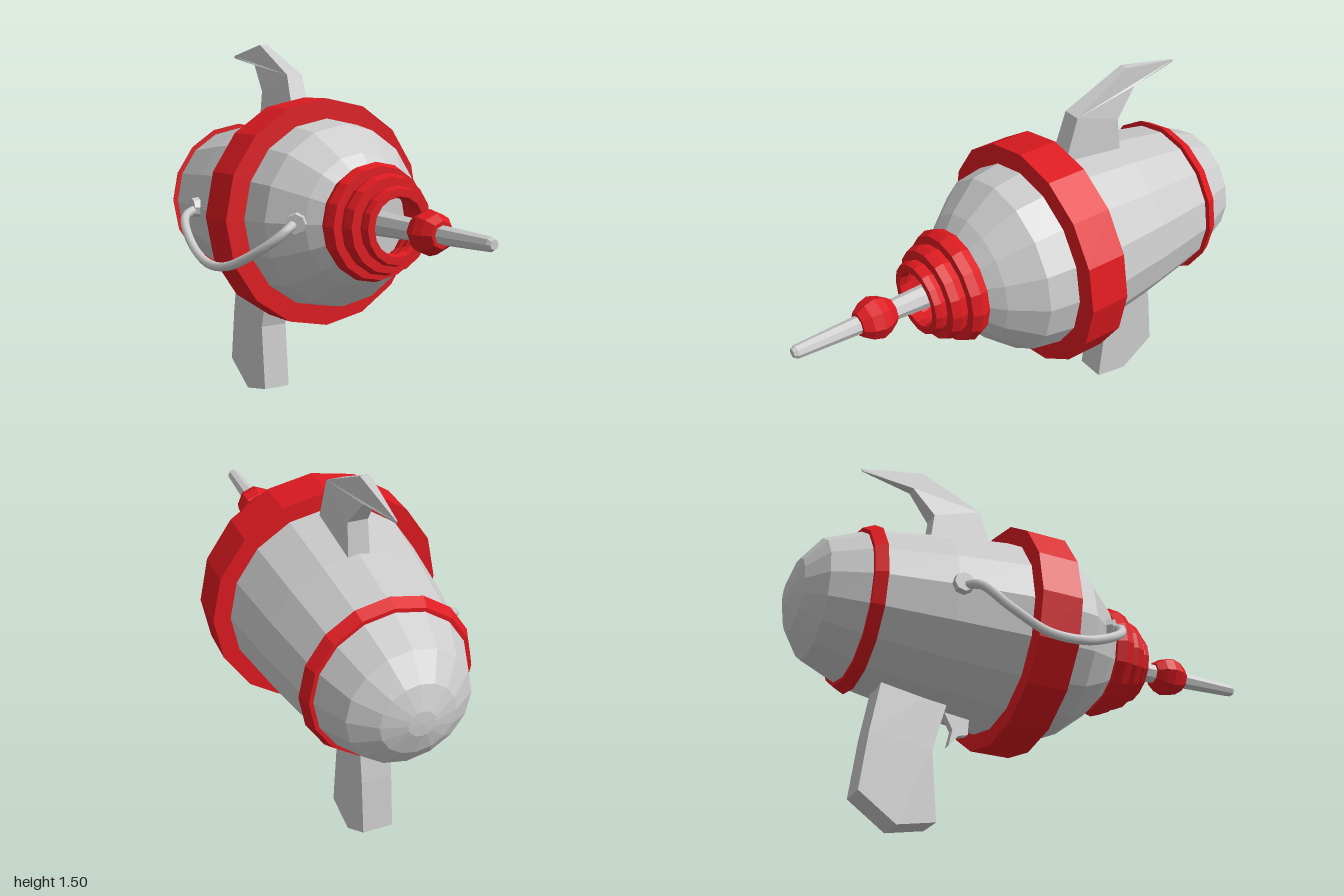
import * as THREE from 'three';

const grey = new THREE.MeshStandardMaterial({ color: 0xcccccc, flatShading: true });
const smoothGrey = new THREE.MeshStandardMaterial({ color: 0xcccccc });
const red = new THREE.MeshStandardMaterial({ color: 0xdd1a20, flatShading: true });

// Turned part along the z axis; profile is [z, radius] with z ascending on the outside
function turned(name, profile, sides, material) {
  const geometry = new THREE.LatheGeometry(profile.map(([z, r]) => new THREE.Vector2(r, z)), sides);
  geometry.rotateX(Math.PI / 2);
  const mesh = new THREE.Mesh(geometry, material);
  mesh.name = name;
  mesh.position.set(0.01, 0.835, 0);
  return mesh;
}

// Side-on slab; each outline point is [z, y, half width]
function slab(name, outline) {
  const shape = new THREE.Shape(outline.map(([z, y]) => new THREE.Vector2(-z, y)));
  const geometry = new THREE.ExtrudeGeometry(shape, { depth: 1, bevelEnabled: false });
  const p = geometry.attributes.position;
  for (let i = 0; i < p.count; i++) {
    const point = outline.find(([z, y]) => Math.hypot(p.getX(i) + z, p.getY(i) - y) < 1e-4);
    p.setZ(i, point[2] * (p.getZ(i) > 0.5 ? 1 : -1));
  }
  geometry.rotateY(Math.PI / 2);
  geometry.computeVertexNormals();
  const mesh = new THREE.Mesh(geometry, grey);
  mesh.name = name;
  mesh.position.x = 0.01;
  return mesh;
}

// Short octagonal socket pointing along a direction
function socket(name, position, direction) {
  const mesh = new THREE.Mesh(new THREE.CylinderGeometry(0.038, 0.045, 0.06, 8), grey);
  mesh.name = name;
  mesh.position.set(...position);
  mesh.quaternion.setFromUnitVectors(new THREE.Vector3(0, 1, 0), new THREE.Vector3(...direction).normalize());
  return mesh;
}

export function createModel() {
  const model = new THREE.Group();
  model.name = 'rayGun';

  // Egg-shaped body
  model.add(turned('body', [
    [-1, 0], [-0.997, 0.05], [-0.968, 0.14], [-0.9, 0.232], [-0.73, 0.303], [-0.45, 0.352],
    [-0.165, 0.388], [0, 0.376], [0.12, 0.357], [0.245, 0.257], [0.295, 0.2], [0.3, 0],
  ], 16, grey));

  // Wide band and tapered rear band
  model.add(turned('mainBand', [
    [-0.165, 0.36], [-0.165, 0.455], [0, 0.455], [0, 0.36], [-0.165, 0.36],
  ], 16, red));
  model.add(turned('rearBand', [
    [-0.76, 0.28], [-0.76, 0.306], [-0.715, 0.327], [-0.715, 0.28], [-0.76, 0.28],
  ], 16, red));

  // Three shrinking muzzle rings with hexagonal sections
  [[0.333, 0.228, 0.15, 0.037], [0.404, 0.192, 0.125, 0.033], [0.461, 0.15, 0.104, 0.024]].forEach(([z, outer, inner, h], i) => {
    const mid = (outer + inner) / 2, c = (outer - mid) * 0.65;
    model.add(turned('muzzleRing' + (i + 1), [
      [z - h, mid - c], [z - h, mid + c], [z, outer], [z + h, mid + c],
      [z + h, mid - c], [z, inner], [z - h, mid - c],
    ], 16, red));
  });

  // Barrel with faceted bead
  model.add(turned('barrel', [[0.28, 0], [0.28, 0.052], [0.985, 0.026], [1, 0.018], [1, 0]], 8, grey));
  model.add(turned('barrelBead', [
    [0.59, 0], [0.59, 0.05], [0.625, 0.073], [0.66, 0.084], [0.7, 0.073], [0.733, 0.05], [0.733, 0],
  ], 8, red));

  // Hooked fin, grip and trigger
  model.add(slab('fin', [
    [-0.17, 1.16, 0.042], [-0.24, 1.38, 0.036], [-0.49, 1.505, 0.018], [-0.745, 1.46, 0.002],
    [-0.74, 1.45, 0.002], [-0.53, 1.42, 0.022], [-0.44, 1.31, 0.038], [-0.46, 1.14, 0.042],
  ]));
  model.add(slab('grip', [
    [-0.34, 0.6, 0.06], [-0.42, 0.3, 0.06], [-0.395, 0.028, 0.06], [-0.545, 0, 0.06],
    [-0.692, 0.105, 0.06], [-0.665, 0.33, 0.06], [-0.615, 0.62, 0.06],
  ]));
  model.add(slab('trigger', [
    [-0.255, 0.52, 0.016], [-0.262, 0.4, 0.016], [-0.3, 0.39, 0.016], [-0.34, 0.343, 0.016],
    [-0.325, 0.41, 0.016], [-0.385, 0.52, 0.016],
  ]));

  // Drooping cable on the right side, with a socket at each end
  const path = new THREE.CatmullRomCurve3([
    [-0.26, 0.84, 0.2], [-0.31, 0.825, 0.235], [-0.36, 0.78, 0.215], [-0.42, 0.71, 0.12], [-0.45, 0.662, 0],
    [-0.455, 0.66, -0.15], [-0.448, 0.73, -0.3], [-0.415, 0.81, -0.4], [-0.32, 0.84, -0.44],
  ].map((p) => new THREE.Vector3(...p)));
  const cable = new THREE.Mesh(new THREE.TubeGeometry(path, 40, 0.018, 8), smoothGrey);
  cable.name = 'cable';
  model.add(cable);
  model.add(socket('frontSocket', [-0.262, 0.838, 0.214], [-0.7, 0, 0.7]));
  model.add(socket('rearSocket', [-0.335, 0.838, -0.44], [-1, 0, -0.1]));

  return model;
}
